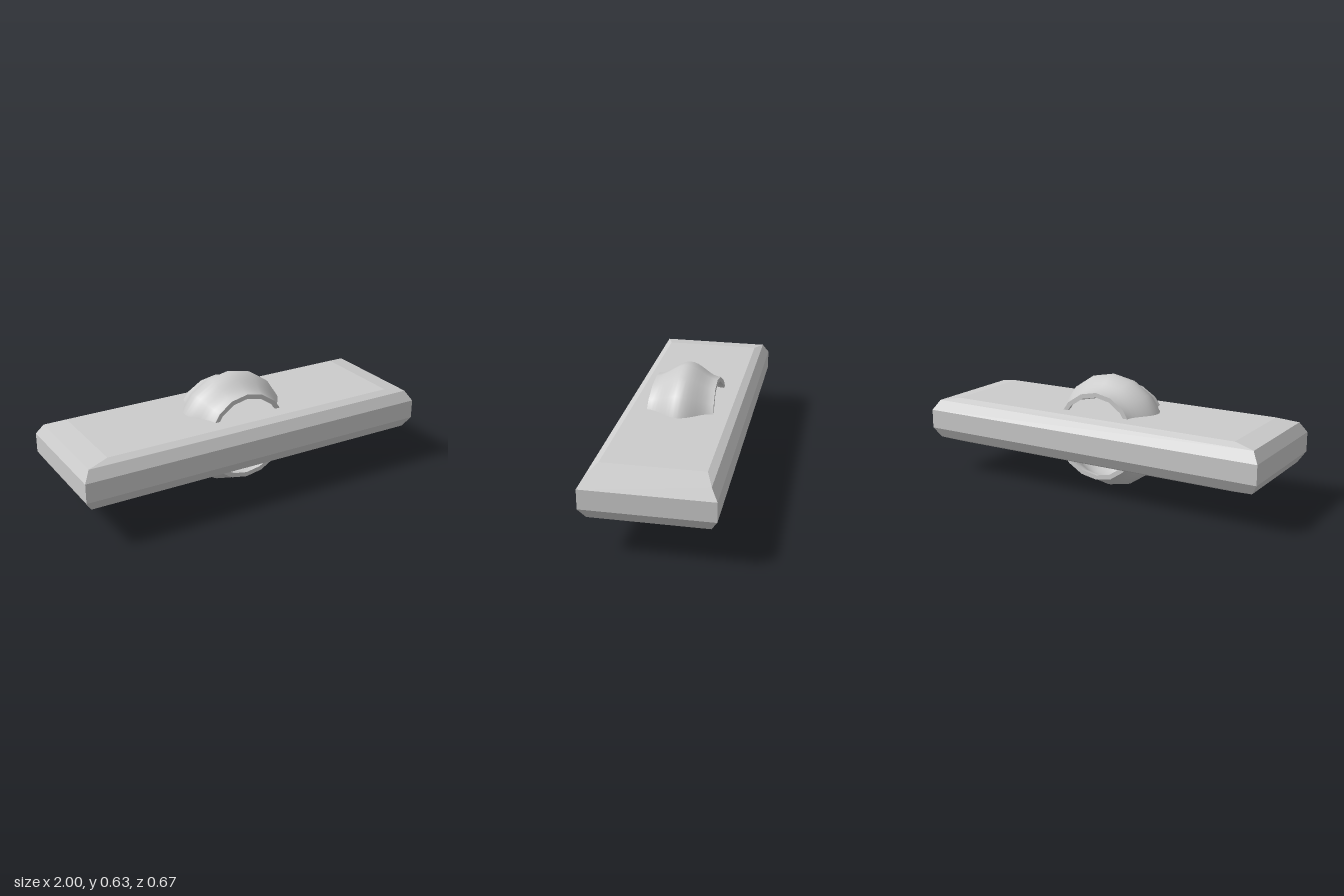
import * as THREE from 'three';
import { mergeGeometries } from 'three/addons/utils/BufferGeometryUtils.js';

// Rectangular bar whose long edges are bevelled in two steps
function barGeometry() {
  // [height, half length, half depth] from bottom to top
  const rows = [
    [0.187, 0.85, 0.262], [0.205, 0.965, 0.3], [0.262, 1, 0.333],
    [0.367, 1, 0.333], [0.423, 0.965, 0.3], [0.442, 0.85, 0.262],
  ];
  const geometry = new THREE.BoxGeometry(2, 5, 2, 1, 5, 1);
  const p = geometry.attributes.position;
  for (let i = 0; i < p.count; i++) {
    const [y, halfX, halfZ] = rows[Math.round(p.getY(i) + 2.5)];
    p.setXYZ(i, Math.sign(p.getX(i)) * halfX, y, Math.sign(p.getZ(i)) * halfZ);
  }
  const flat = geometry.toNonIndexed();
  flat.computeVertexNormals();
  return flat;
}

// Bulging hollow band around the z axis, with a thin wall and sharp rims
function bandGeometry() {
  const wall = 0.025, halfWidth = 0.168, steps = 16;
  const outer = [], inner = [];
  for (let i = 0; i <= steps; i++) {
    const t = (i / steps) * 2 - 1;
    // Bell-shaped bulge: crest in the middle, levelling out at the rims
    const r = 0.242 + 0.0725 * (0.5 + 0.5 * Math.cos(Math.PI * t));
    outer.push(new THREE.Vector2(r, t * halfWidth));
    inner.unshift(new THREE.Vector2(r - wall, t * halfWidth));
  }
  const frontRim = [outer[steps], inner[0]];
  const backRim = [inner[steps], outer[0]];
  const pieces = [outer, frontRim, inner, backRim].map((pts) => new THREE.LatheGeometry(pts, 16));
  const geometry = mergeGeometries(pieces);
  geometry.rotateX(Math.PI / 2);
  // The band is slightly wider at the sides than at the top and bottom
  const p = geometry.attributes.position;
  for (let i = 0; i < p.count; i++) {
    const x = p.getX(i), y = p.getY(i);
    p.setZ(i, p.getZ(i) * (1 + (0.09 * x * x) / (x * x + y * y)));
  }
  return geometry;
}

export function createModel() {
  const model = new THREE.Group();

  const bar = new THREE.Mesh(
    barGeometry(),
    new THREE.MeshStandardMaterial({ color: 0xcccccc, flatShading: true })
  );
  bar.name = 'bar';

  const band = new THREE.Mesh(
    bandGeometry(),
    new THREE.MeshStandardMaterial({ color: 0xcccccc })
  );
  band.name = 'ringBand';
  band.position.y = 0.3145;

  model.add(bar, band);
  return model;
}
